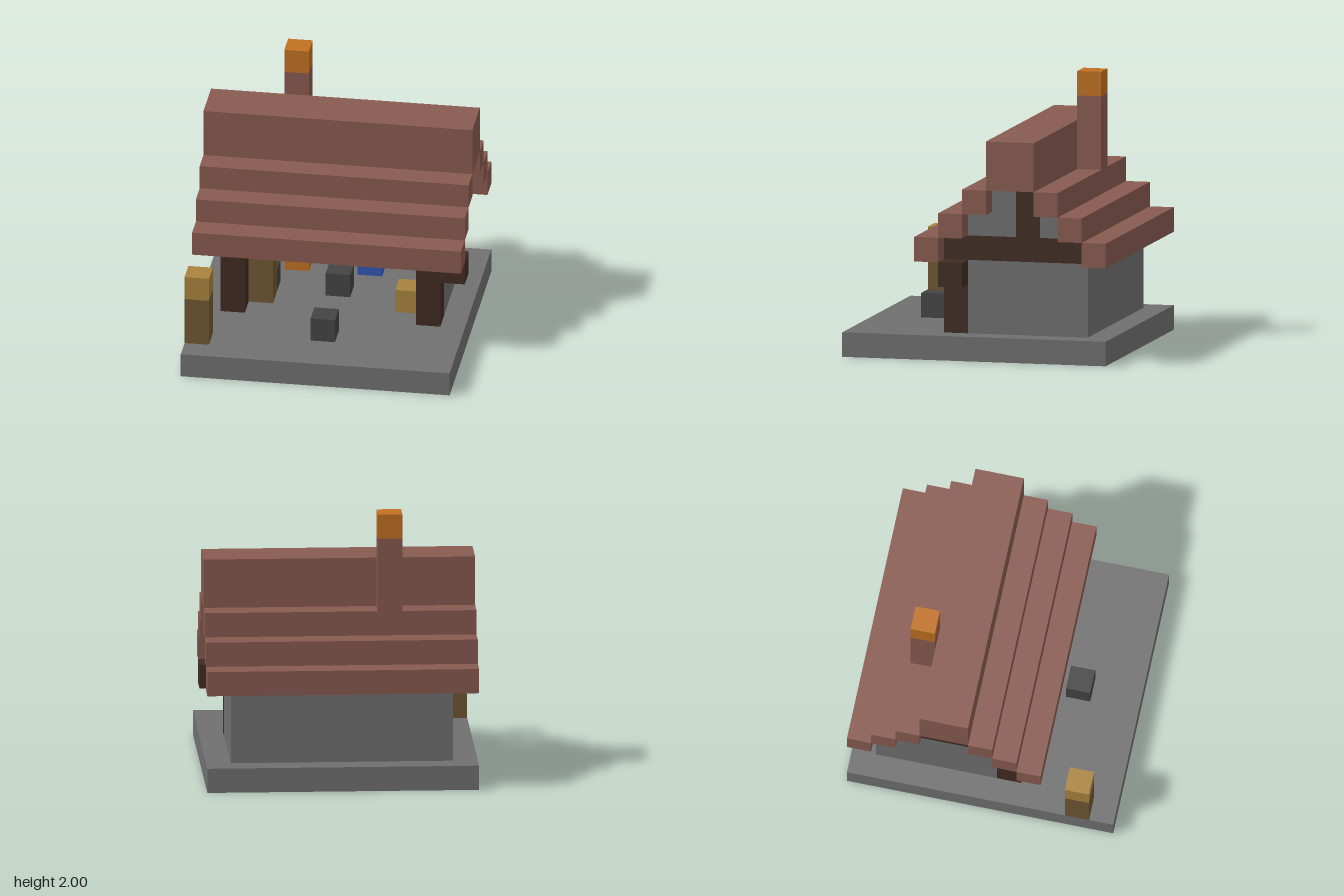
import * as THREE from 'three';

const U = 2 / 11; // one block of the 11 x 11 x 11 grid

export function createModel() {
  const model = new THREE.Group();
  model.name = 'blockSmithy';

  const mat = (name, color) => {
    const m = new THREE.MeshStandardMaterial({ color });
    m.name = name;
    return m;
  };
  const stone = mat('stone', 0x707070);
  const brick = mat('brick', 0x885a50);
  const timber = mat('darkTimber', 0x402b22);
  const wood = mat('wood', 0x6f5733);
  const glow = mat('lampGold', 0xa9833f);
  const fire = mat('fire', 0xc07121);
  const water = mat('water', 0x3355b5);
  const iron = mat('iron', 0x444444);

  // Box from block corner (x, y, z) spanning (w, h, d) blocks; z counts from the back
  function block(name, material, x, y, z, w = 1, h = 1, d = 1, parent = model) {
    const mesh = new THREE.Mesh(new THREE.BoxGeometry(w * U, h * U, d * U), material);
    mesh.position.set((x + w / 2) * U - 1, (y + h / 2) * U, (z + d / 2) * U - 1);
    mesh.name = name;
    parent.add(mesh);
    return mesh;
  }

  // Base slab
  block('base', stone, 0, 0, 0, 11, 1, 11);

  // Walls on three sides, open at the front
  block('backWall', stone, 1, 1, 1, 9, 3, 1);
  for (const x of [1, 9]) {
    block('sideWall', stone, x, 1, 2, 1, 3, 4);
    block('frontPost', timber, x, 1, 6, 1, 3, 1);
    block('sideBeam', timber, x, 4, 1, 1, 1, 6);
    // Gable infill around a king post
    block('kingPost', timber, x, 5, 3, 1, 2, 1);
    block('gableFront', stone, x, 5, 4, 1, 1, 2);
    block('gableUpper', stone, x, 6, 4);
    block('gableBack', stone, x, 5, 2);
  }
  block('frontBeam', timber, 2, 4, 6, 7, 1, 1);
  block('backBeam', timber, 2, 4, 1, 7, 1, 1);
  block('bracket', timber, 10, 3, 6);

  // Stepped roof
  const roof = new THREE.Group();
  roof.name = 'roof';
  model.add(roof);
  for (let i = 0; i < 3; i++) {
    block('frontRoofStep', brick, 0, 4 + i, 7 - i, 11, 1, 1, roof);
    block('backRoofStep', brick, 0, 4 + i, i, 11, 1, 1, roof);
  }
  block('ridge', brick, 0, 7, 3, 11, 2, 2, roof);

  // Forge and chimney
  block('forgeFire', fire, 3, 1, 2);
  block('chimney', brick, 3, 2, 2, 1, 8, 1);
  block('chimneyFire', fire, 3, 10, 2);

  // Workshop furnishings
  block('cupboard', wood, 2, 1, 5, 1, 2, 1);
  block('ironChest', iron, 2, 1, 4);
  block('insideAnvil', iron, 5, 1, 4);
  block('outsideAnvil', iron, 5, 1, 8);
  block('waterTrough', water, 6, 1, 2);
  block('crate', glow, 8, 1, 5);
  block('wallLamp', glow, 5, 3, 2);

  // Lamp post in the yard
  block('lampPost', wood, 0, 1, 9, 1, 2, 1);
  block('lamp', glow, 0, 3, 9);

  return model;
}
